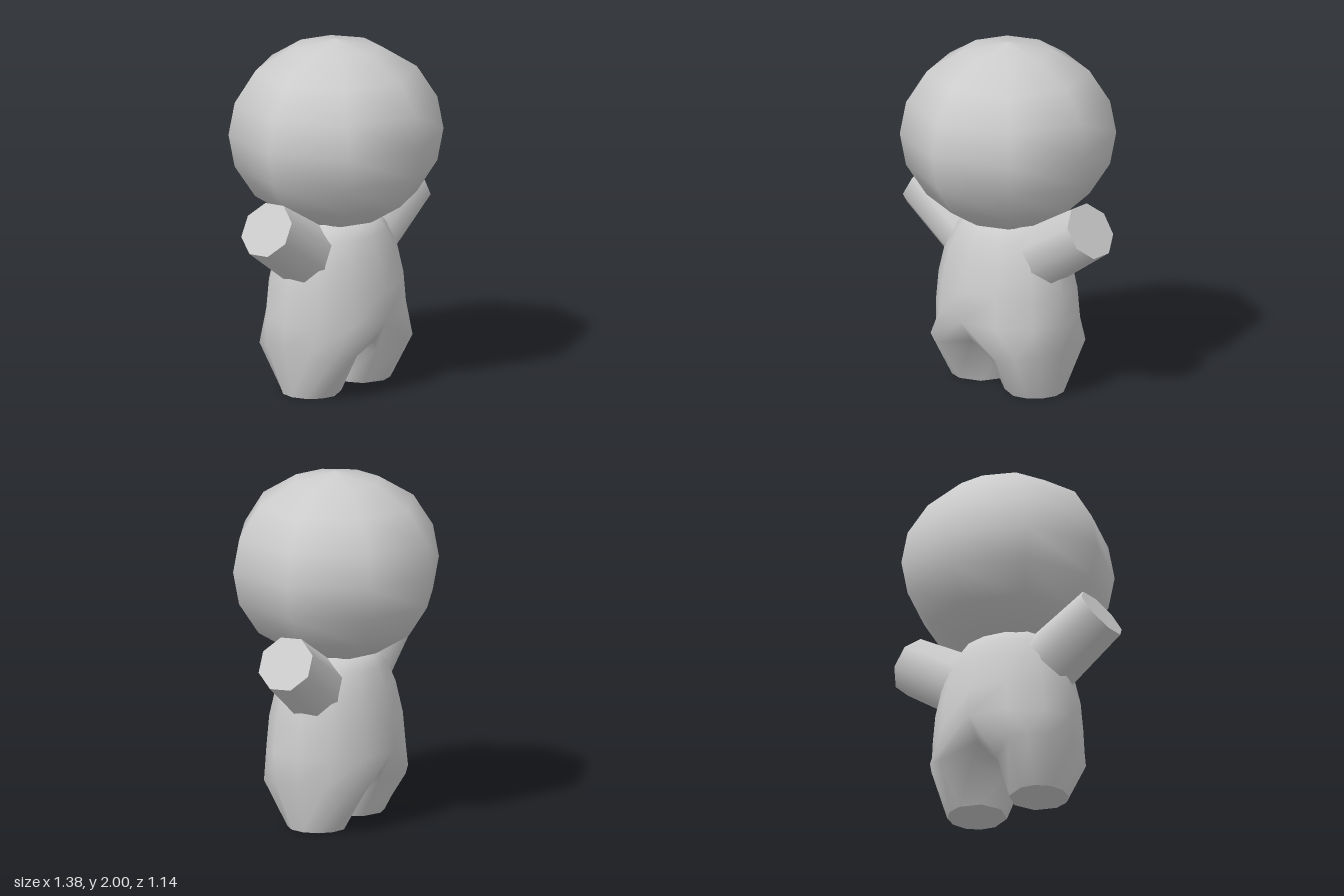
import * as THREE from 'three';

const TURN = 0.314; // the body is twisted slightly under the head
const SIDES = 12;
const material = new THREE.MeshStandardMaterial({ color: 0xcccccc });

function addMesh(parent, name, geometry) {
  const mesh = new THREE.Mesh(geometry, material);
  mesh.name = name;
  parent.add(mesh);
  return mesh;
}

// Torso flowing into two legs, as one skin of shared loops
function bodyGeometry() {
  const positions = [], index = [];
  const c = Math.cos(TURN), s = Math.sin(TURN);
  const point = (u, y, w) => positions.push(u * c + w * s, y, -u * s + w * c) / 3 - 1;
  const bridge = (low, high) => low.forEach((a, i) => {
    const j = (i + 1) % low.length;
    index.push(a, high[i], low[j], high[i], high[j], low[j]);
  });

  // Torso rings: height, half width, half depth
  const rings = [
    [0.43, 0.447, 0.37], [0.6, 0.432, 0.355], [0.78, 0.39, 0.315],
    [0.9, 0.325, 0.27], [0.985, 0.25, 0.215],
  ].map(([y, a, b]) => Array.from({ length: SIDES }, (_, i) => {
    const t = (i / SIDES) * Math.PI * 2;
    return point(a * Math.cos(t), y, b * Math.sin(t));
  }));
  for (let i = 1; i < rings.length; i++) bridge(rings[i - 1], rings[i]);

  // Flat neck top, hidden under the head
  const top = rings[rings.length - 1], neck = point(0, 1.0, 0);
  top.forEach((a, i) => index.push(neck, top[(i + 1) % SIDES], a));

  // Legs: half of the lowest ring, closed by the crotch arch
  const crotch = [point(0, 0.3, 0.28), point(0, 0.33, 0), point(0, 0.3, -0.28)];
  for (const side of [1, -1]) {
    const start = side > 0 ? 9 : 3;
    const upper = Array.from({ length: 7 }, (_, i) => rings[0][(start + i) % SIDES])
      .concat(side > 0 ? crotch : [...crotch].reverse());
    const angles = upper.map((_, i) => (i < 7 ? -90 + 30 * i : 90 + 45 * (i - 6)) * Math.PI / 180);
    const loop = (center, a, b, height) => angles.map((t) =>
      point(side * (center + a * Math.cos(t)), height(t), side * b * Math.sin(t)));
    const thigh = loop(0.235, 0.21, 0.315, (t) => 0.24 + 0.04 * Math.cos(t));
    const hem = loop(0.215, 0.168, 0.168, () => 0);
    bridge(thigh, upper);
    bridge(hem, thigh);
    // Sole with its own corners so its edge stays sharp
    const sole = loop(0.215, 0.168, 0.168, () => 0);
    const middle = point(side * 0.215, 0, 0);
    sole.forEach((a, i) => index.push(middle, a, sole[(i + 1) % sole.length]));
  }

  const geometry = new THREE.BufferGeometry();
  geometry.setAttribute('position', new THREE.Float32BufferAttribute(positions, 3));
  geometry.setIndex(index);
  geometry.computeVertexNormals();
  return geometry;
}

export function createModel() {
  const model = new THREE.Group();
  model.name = 'figure';

  // Eight-sided round head
  const profile = [
    [0, 0.92], [0.25, 0.975], [0.455, 1.1], [0.57, 1.275], [0.605, 1.46],
    [0.57, 1.645], [0.455, 1.825], [0.25, 1.95], [0, 2],
  ].map(([r, y]) => new THREE.Vector2(r, y));
  addMesh(model, 'head', new THREE.LatheGeometry(profile, 8, 0.345));

  addMesh(model, 'body', bodyGeometry());

  // Raised arms with flat ends, one forward and one back
  const length = 0.46;
  for (const side of [1, -1]) {
    const direction = new THREE.Vector3(side * 0.8, 0.53, side * -0.3).normalize();
    const end = new THREE.Vector3(side * 0.595, 1.03, side * -0.22);
    const arm = addMesh(model, side > 0 ? 'leftArm' : 'rightArm',
      new THREE.CylinderGeometry(0.165, 0.185, length, 8));
    arm.quaternion.setFromUnitVectors(new THREE.Vector3(0, 1, 0), direction);
    arm.position.copy(end).addScaledVector(direction, -length / 2);
  }
  return model;
}
